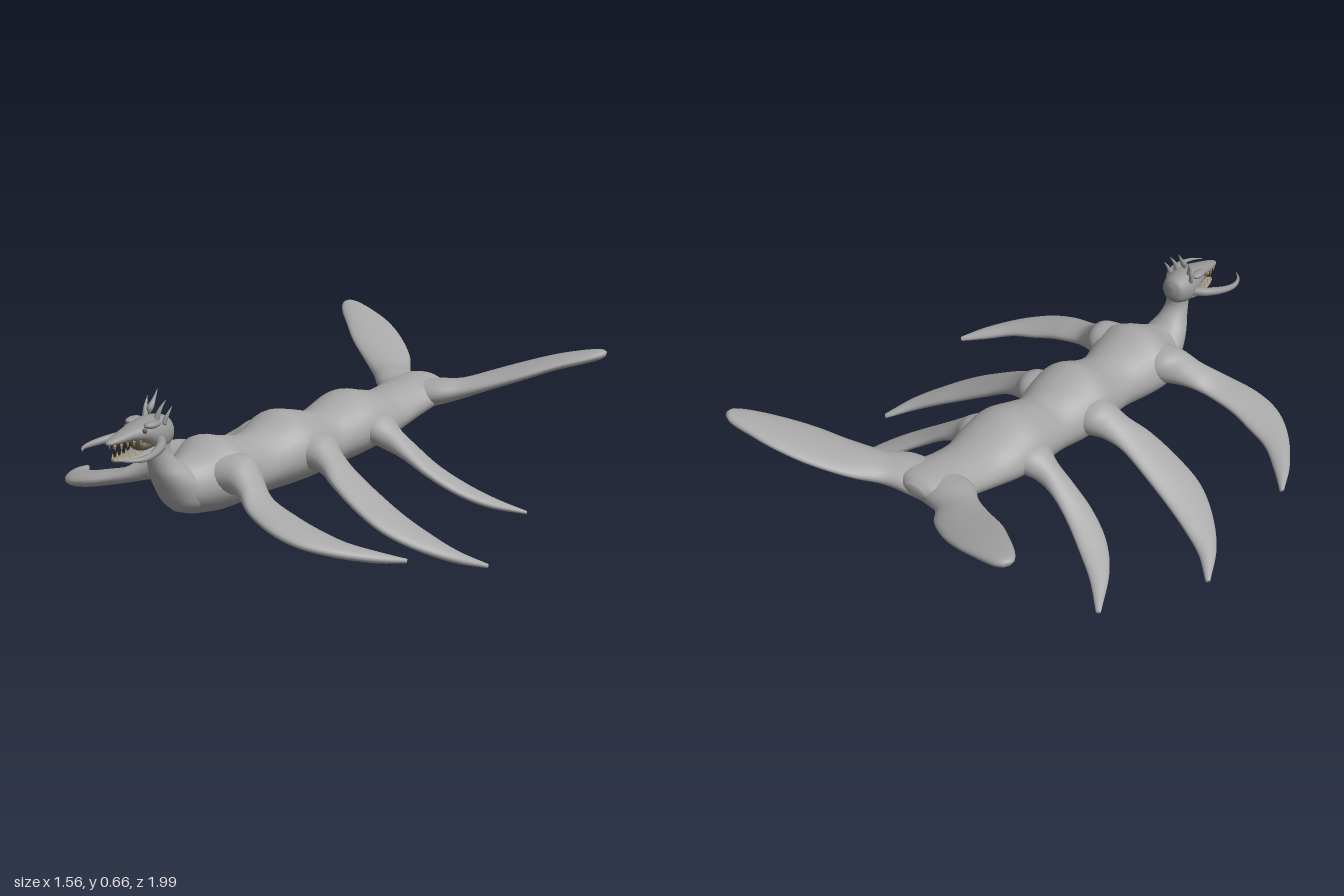
import * as THREE from 'three';

const skin = new THREE.MeshStandardMaterial({ name: 'grey skin', color: 0xa8a8a8 });
const headSkin = new THREE.MeshStandardMaterial({ name: 'dark head skin', color: 0x969696 });
const ivory = new THREE.MeshStandardMaterial({ name: 'yellow teeth', color: 0xc2a25a });
const mouthDark = new THREE.MeshStandardMaterial({ name: 'mouth lining', color: 0x66594f });

const V = (x, y, z) => new THREE.Vector3(x, y, z);

// Smooth closed loft. Each section: c centre, u and v half axes; taper narrows the -v half.
function loft(sections, { steps = 6, sides = 24, taper = 0 } = {}) {
  const [C, U, W] = ['c', 'u', 'v'].map(k =>
    new THREE.CatmullRomCurve3(sections.map(s => s[k]), false, 'catmullrom', 0.5));
  const n = (sections.length - 1) * steps, pos = [], idx = [];
  for (let i = 0; i <= n; i++) {
    const c = C.getPoint(i / n), u = U.getPoint(i / n), v = W.getPoint(i / n);
    for (let j = 0; j < sides; j++) {
      const a = j / sides * Math.PI * 2, s = Math.sin(a);
      const k = Math.cos(a) * (s < 0 ? 1 - taper * s * s : 1);
      pos.push(...c.clone().addScaledVector(u, k).addScaledVector(v, s).toArray());
    }
  }
  for (let i = 0; i < n; i++) for (let j = 0; j < sides; j++) {
    const a = i * sides + j, b = i * sides + (j + 1) % sides;
    idx.push(a, b, a + sides, b, b + sides, a + sides);
  }
  // rounded-off ends closed to a centre point
  const first = pos.length / 3;
  pos.push(...C.getPoint(0).toArray(), ...C.getPoint(1).toArray());
  for (let j = 0; j < sides; j++) {
    const k = (j + 1) % sides;
    idx.push(first, k, j, first + 1, n * sides + j, n * sides + k);
  }
  // make the faces point outward whichever way the sections run
  let volume = 0;
  const p = i => V(pos[i * 3], pos[i * 3 + 1], pos[i * 3 + 2]);
  for (let i = 0; i < idx.length; i += 3)
    volume += p(idx[i]).dot(p(idx[i + 1]).cross(p(idx[i + 2])));
  if (volume < 0) idx.reverse();
  const g = new THREE.BufferGeometry();
  g.setAttribute('position', new THREE.Float32BufferAttribute(pos, 3));
  g.setIndex(idx);
  g.computeVertexNormals();
  return g;
}

// Fin rows: leading x, z, trailing x, z, height, half thickness
const FINS = {
  frontFin: [
    [.05, .60, .05, .40, .34, .09], [.15, .585, .15, .42, .355, .068], [.22, .60, .21, .465, .33, .045],
    [.30, .645, .29, .505, .292, .027], [.42, .672, .41, .515, .258, .026], [.53, .655, .50, .503, .23, .025],
    [.63, .585, .60, .48, .205, .022], [.72, .475, .69, .42, .18, .018], [.775, .37, .765, .358, .163, .008]],
  middleFin: [
    [.05, .20, .05, .00, .33, .09], [.15, .17, .15, .01, .345, .065], [.22, .17, .21, .04, .325, .044],
    [.30, .20, .29, .055, .287, .03], [.42, .213, .40, .048, .222, .027], [.53, .20, .50, .035, .165, .025],
    [.63, .14, .60, .012, .113, .023], [.72, .045, .69, -.02, .066, .019], [.78, -.07, .768, -.082, .026, .008]],
  rearFin: [
    [.05, -.16, .05, -.36, .34, .08], [.14, -.18, .14, -.33, .35, .055], [.20, -.205, .20, -.305, .325, .042],
    [.28, -.215, .27, -.312, .288, .028], [.38, -.232, .35, -.335, .232, .022], [.48, -.278, .44, -.378, .175, .02],
    [.56, -.36, .53, -.43, .126, .017], [.632, -.495, .618, -.505, .08, .007]],
  tailFluke: [
    [.02, -.54, .00, -.70, .39, .062], [.13, -.565, .05, -.722, .405, .055], [.21, -.63, .125, -.755, .423, .042],
    [.31, -.69, .20, -.84, .458, .034], [.42, -.752, .31, -.918, .502, .03], [.51, -.82, .42, -.965, .54, .027],
    [.59, -.885, .52, -.985, .566, .025], [.63, -.93, .59, -.992, .58, .02], [.638, -.955, .625, -.982, .584, .009]],
};

function finGeometry(rows, side, sweep) {
  const sections = rows.map(([lx, lz, tx, tz, y, t], i) => {
    const dz = side * sweep * Math.sin(Math.PI * i / (rows.length - 1));
    return {
      c: V(side * (lx + tx) / 2, y, (lz + tz) / 2 - dz),
      u: V(side * (lx - tx) / 2, 0, (lz - tz) / 2),
      v: V(side * t * .3, t, 0),
    };
  });
  return loft(sections);
}

// Curved tapering spike through points
function spike(points, r) {
  const sections = points.map((q, i) => {
    const k = r * (1 - .93 * (i / (points.length - 1)) ** 1.3);
    const a = points[Math.max(i - 1, 0)], b = points[Math.min(i + 1, points.length - 1)];
    const d = b.clone().sub(a).normalize();
    const u = V(0, 1, 0).cross(d);
    if (u.length() < .2) u.set(1, 0, 0);
    u.normalize();
    return { c: q, u: u.clone().multiplyScalar(k), v: d.cross(u).multiplyScalar(k) };
  });
  return loft(sections, { steps: 5, sides: 10 });
}

// Sections stacked along z: z, bottom, top, half width
const alongZ = rows => rows.map(([z, lo, hi, w]) =>
  ({ c: V(0, (lo + hi) / 2, z), u: V(w, 0, 0), v: V(0, (hi - lo) / 2, 0) }));

export function createModel() {
  const model = new THREE.Group();
  const add = (parent, name, geometry, material = skin) => {
    const m = new THREE.Mesh(geometry, material);
    m.name = name;
    parent.add(m);
    return m;
  };

  // Torso with a hump above each pair of fins
  add(model, 'body', loft(alongZ([
    [.69, .28, .36, .03], [.66, .24, .40, .075], [.60, .215, .425, .11], [.50, .203, .468, .165],
    [.42, .203, .45, .155], [.32, .206, .432, .128], [.24, .208, .445, .135], [.14, .208, .482, .16],
    [.05, .21, .465, .155], [-.05, .215, .44, .13], [-.12, .222, .455, .138], [-.23, .232, .482, .155],
    [-.33, .25, .46, .15], [-.42, .27, .44, .13], [-.52, .295, .45, .122], [-.62, .33, .462, .13],
    [-.69, .365, .46, .10], [-.725, .40, .44, .04],
  ]), { taper: .3, sides: 32 }));

  // Fins and tail flukes on both sides
  for (const [name, rows] of Object.entries(FINS))
    for (const side of [1, -1])
      add(model, (side > 0 ? 'left ' : 'right ') + name,
        finGeometry(rows, side, name === 'frontFin' ? .022 : 0));

  // Chest rising into the neck: y, back z, front z, half width
  add(model, 'neck', loft([
    [.235, .55, .66, .05], [.27, .52, .695, .085], [.33, .52, .73, .092], [.38, .59, .755, .075],
    [.42, .655, .768, .054], [.47, .695, .778, .043], [.53, .695, .785, .044], [.56, .71, .77, .03],
  ].map(([y, b, f, w]) => ({ c: V(-.005, y, (b + f) / 2), u: V(w, 0, 0), v: V(0, 0, (f - b) / 2) }))));

  const head = new THREE.Group();
  head.name = 'head';
  head.position.x = -.008;
  model.add(head);

  // Skull with upper jaw, and the open lower jaw
  add(head, 'skull', loft(alongZ([
    [.685, .52, .56, .015], [.70, .49, .585, .045], [.74, .475, .598, .06], [.78, .485, .60, .06],
    [.82, .515, .593, .053], [.87, .53, .58, .037], [.92, .533, .565, .026], [.955, .535, .553, .015],
    [.967, .538, .546, .005],
  ])), headSkin);
  add(head, 'lowerJaw', loft(alongZ([
    [.75, .475, .52, .035], [.80, .472, .505, .045], [.86, .468, .488, .034], [.91, .47, .486, .023],
    [.94, .475, .486, .01],
  ])), headSkin);
  add(head, 'mouthLining', loft(alongZ([
    [.78, .487, .525, .036], [.82, .487, .53, .036], [.835, .492, .525, .025],
  ])), mouthDark);

  for (const s of [1, -1]) {
    // Brow, eye, side mandible and horns
    const brow = add(head, 'brow', new THREE.SphereGeometry(1, 14, 10), headSkin);
    brow.scale.set(.02, .013, .035);
    brow.position.set(s * .044, .582, .80);
    const eye = add(head, 'eye', new THREE.SphereGeometry(.009, 12, 8), mouthDark);
    eye.position.set(s * .044, .567, .835);
    add(head, 'mandible', spike([
      V(s * .04, .525, .765), V(s * .085, .52, .80), V(s * .117, .512, .86), V(s * .127, .507, .92),
      V(s * .112, .508, .968), V(s * .082, .51, .998)], .019), headSkin);
    add(head, 'innerHorn', spike([
      V(s * .026, .585, .765), V(s * .034, .62, .755), V(s * .043, .653, .735)], .011), headSkin);
    add(head, 'outerHorn', spike([
      V(s * .046, .572, .75), V(s * .054, .605, .738), V(s * .058, .632, .72)], .009), headSkin);
    // Teeth along both jaws
    for (let i = 0; i < 5; i++) {
      const z = .845 + i * .024, w = .038 - i * .0055, h = i === 3 ? .03 : .02;
      const upper = add(head, 'upperTooth', new THREE.ConeGeometry(.0055, h, 7), ivory);
      upper.rotation.x = Math.PI;
      upper.position.set(s * w * .85, .536 - h / 2, z);
      const lower = add(head, 'lowerTooth', new THREE.ConeGeometry(.005, .02, 7), ivory);
      lower.position.set(s * w * .75, .492, z - .012);
    }
  }
  add(head, 'crestHorn', spike([
    V(0, .585, .775), V(0, .62, .768), V(0, .65, .748), V(0, .682, .73)], .014), headSkin);

  return model;
}
